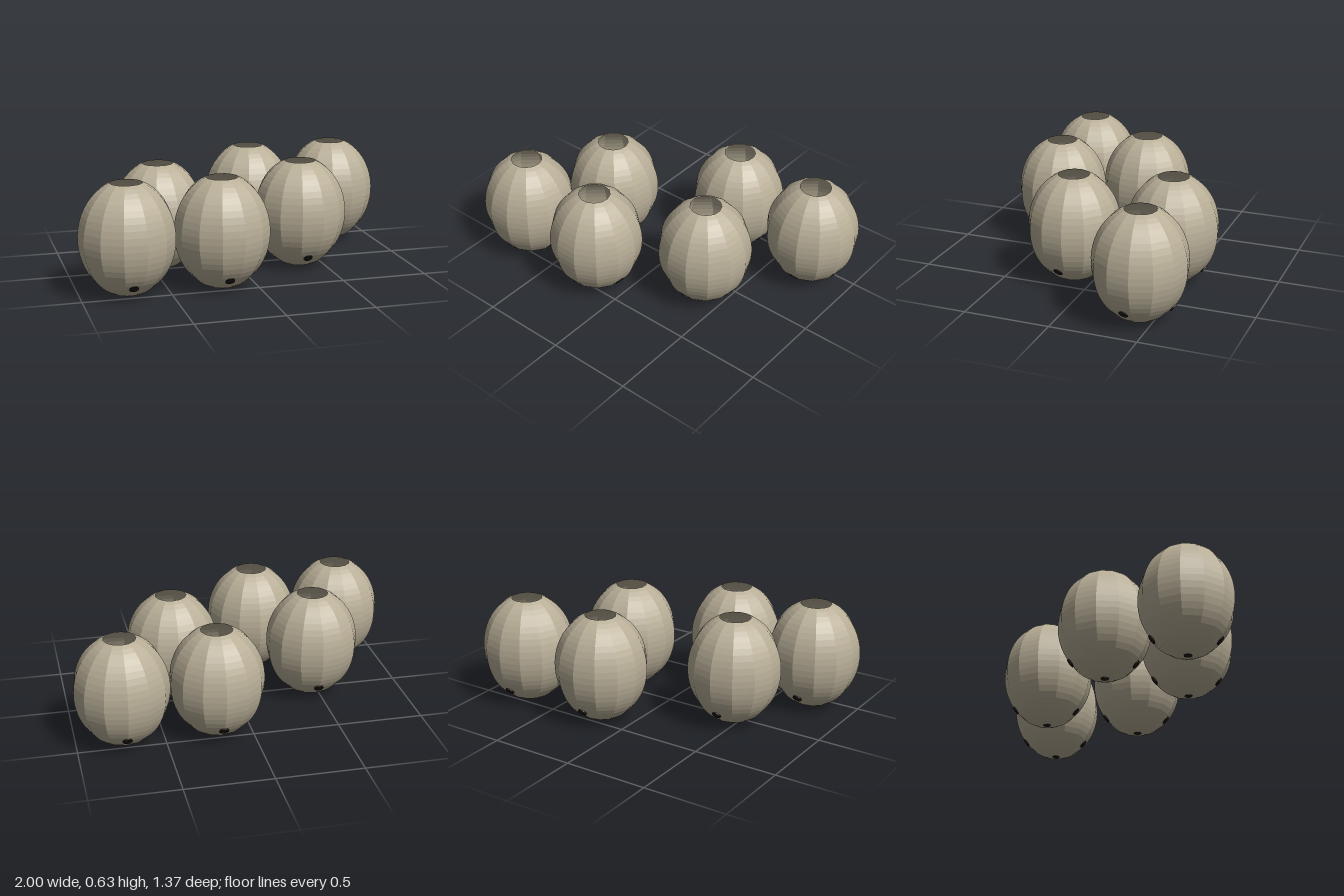
import * as THREE from 'three';

const RX = 0.27, RZ = 0.265, HALF = 0.326; // pot half-width, half-depth, half-height
const SIDES = 13, RINGS = 24, RIM = 0.09;

export function createModel() {
  const clay = new THREE.MeshStandardMaterial({ color: 0xb9af98, flatShading: true, side: THREE.DoubleSide });
  clay.name = 'clay';
  const dark = new THREE.MeshStandardMaterial({ color: 0x1f1a14 });
  dark.name = 'dark hole';

  // Egg-shaped shell, open at the top
  const end = Math.PI - Math.asin(RIM / RX);
  const profile = [];
  for (let i = 0; i <= RINGS; i++) {
    const t = (end * i) / RINGS;
    profile.push(new THREE.Vector2(RX * Math.sin(t), HALF * (1 - Math.cos(t))));
  }
  const shellGeo = new THREE.LatheGeometry(profile, SIDES, Math.PI);
  shellGeo.scale(1, 1, RZ / RX);

  const holeGeo = new THREE.CylinderGeometry(0.027, 0.027, 0.018, 10);
  const drainGeo = new THREE.CylinderGeometry(0.024, 0.024, 0.009, 10);
  const apothem = Math.cos(Math.PI / SIDES);
  // Side holes: turn from the front, height, distance factor to the facet
  const holes = [
    ['frontHole', 0, 0.084, apothem],
    ['sideHole', (3 * 2 * Math.PI) / SIDES, 0.107, apothem],
    ['backHole', Math.PI, 0.1, 1],
  ];

  function makePot() {
    const pot = new THREE.Group();
    const shell = new THREE.Mesh(shellGeo, clay);
    shell.name = 'shell';
    pot.add(shell);

    for (const [name, turn, y, factor] of holes) {
      const cos = 1 - y / HALF;
      const sin = Math.sqrt(1 - cos * cos);
      const dx = Math.sin(turn), dz = Math.cos(turn);
      const normal = new THREE.Vector3((dx * sin) / RX, -cos / HALF, (dz * sin) / RZ).normalize();
      const hole = new THREE.Mesh(holeGeo, dark);
      hole.name = name;
      hole.position.set(dx * RX * sin * factor, y, dz * RZ * sin * factor).addScaledVector(normal, -0.006);
      hole.quaternion.setFromUnitVectors(new THREE.Vector3(0, 1, 0), normal);
      pot.add(hole);
    }

    // Drain hole through the floor
    const drain = new THREE.Mesh(drainGeo, dark);
    drain.name = 'drainHole';
    drain.position.y = 0.0045;
    pot.add(drain);
    return pot;
  }

  // Loose cluster of six pots
  const model = new THREE.Group();
  model.name = 'potCluster';
  const places = [[-0.732, 0.427], [-0.197, 0.427], [-0.46, -0.03], [0.358, 0.116], [0.195, -0.419], [0.732, -0.419]];
  places.forEach(([x, z], i) => {
    const pot = makePot();
    pot.name = `pot${i + 1}`;
    pot.position.set(x, 0, z);
    model.add(pot);
  });
  return model;
}
